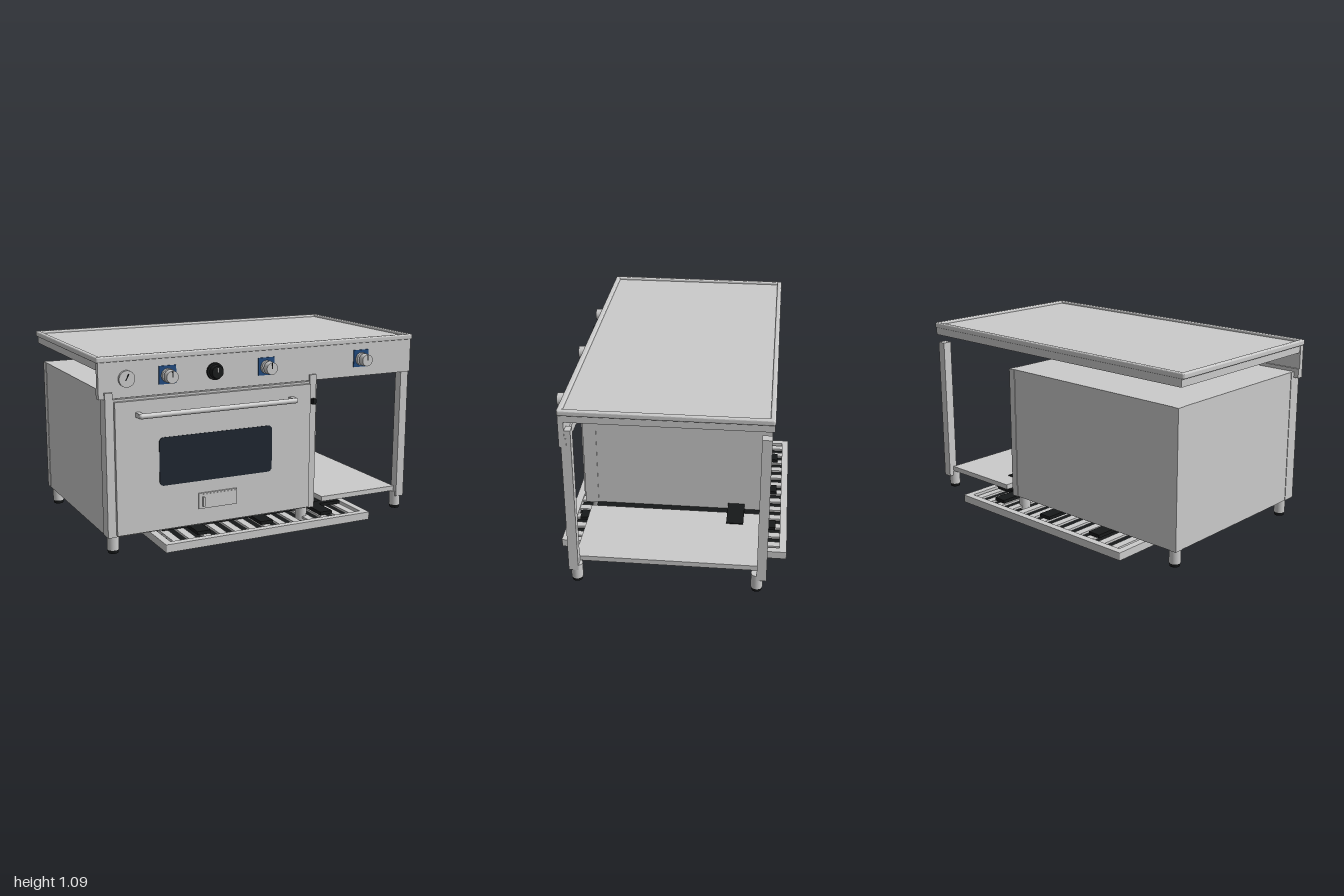
import * as THREE from 'three';

const mat = (color) => new THREE.MeshStandardMaterial({ color });

export function createModel() {
  const root = new THREE.Group();
  const grey = mat(0xcccccc), black = mat(0x17191a), glass = mat(0x1e2630), blue = mat(0x1f4a80);

  const add = (name, geo, m = grey, parent = root) => {
    const mesh = new THREE.Mesh(geo, m);
    mesh.name = name;
    parent.add(mesh);
    return mesh;
  };
  // Box given by its min and max on each axis
  const box = (name, x0, x1, y0, y1, z0, z1, m = grey, parent = root) => {
    const b = add(name, new THREE.BoxGeometry(x1 - x0, y1 - y0, z1 - z0), m, parent);
    b.position.set((x0 + x1) / 2, (y0 + y1) / 2, (z0 + z1) / 2);
    return b;
  };
  // Cylinder along z, from z0 to z1
  const disc = (name, x, y, r, z0, z1, m = grey, r1 = r, parent = root) => {
    const c = add(name, new THREE.CylinderGeometry(r1, r, z1 - z0, 32), m, parent);
    c.rotation.x = Math.PI / 2;
    c.position.set(x, y, (z0 + z1) / 2);
    return c;
  };
  const roundedRect = (w, h, r, Type = THREE.Shape) => {
    const s = new Type(), a = w / 2 - r, b = h / 2 - r;
    s.absarc(a, b, r, 0, Math.PI / 2);
    s.absarc(-a, b, r, Math.PI / 2, Math.PI);
    s.absarc(-a, -b, r, Math.PI, Math.PI * 1.5);
    s.absarc(a, -b, r, Math.PI * 1.5, Math.PI * 2);
    s.closePath();
    return s;
  };
  // Flat rectangular ring lying in the xz plane
  const ring = (name, w, d, t, y0, y1, z = 0, bevel = 0, parent = root) => {
    const s = roundedRect(w - 2 * bevel, d - 2 * bevel, 0.006);
    s.holes.push(roundedRect(w - 2 * t + 2 * bevel, d - 2 * t + 2 * bevel, 0.004, THREE.Path));
    const g = new THREE.ExtrudeGeometry(s, {
      depth: y1 - y0 - 2 * bevel, bevelEnabled: bevel > 0, bevelSize: bevel, bevelThickness: bevel, bevelSegments: 3, curveSegments: 4,
    });
    g.rotateX(-Math.PI / 2);
    const m = add(name, g, grey, parent);
    m.position.set(0, y0 + bevel, z);
  };

  // Worktop with a raised rounded rim and a skirt
  box('worktopSlab', -0.985, 0.985, 1.015, 1.075, -0.56, 0.545);
  ring('worktopRim', 2, 1.125, 0.028, 1.058, 1.09, 0, 0.008);

  // Control panel with a folded lower edge
  box('controlPanel', -0.99, 0.985, 0.865, 1.06, 0.53, 0.56);
  box('controlPanelHem', -0.99, 0.985, 0.865, 0.92, 0.52, 0.558);

  // Three burner knobs on blue plates
  for (const x of [-0.6, 0, 0.63]) {
    const knob = new THREE.Group();
    knob.name = 'burnerKnob';
    root.add(knob);
    box('knobPlate', x - 0.05, x + 0.05, 0.92, 1.02, 0.56, 0.566, blue, knob);
    disc('knobCollar', x, 0.967, 0.038, 0.566, 0.585, grey, 0.038, knob);
    disc('knobStem', x, 0.967, 0.026, 0.585, 0.6, grey, 0.026, knob);
    disc('knobBody', x, 0.967, 0.037, 0.6, 0.635, grey, 0.034, knob);
    box('knobPointer', x - 0.003, x + 0.003, 0.967, 0.999, 0.633, 0.637, black, knob);
  }
  // Thermometer and thermostat dial
  disc('thermometer', -0.835, 0.967, 0.045, 0.56, 0.578);
  const needle = box('thermometerNeedle', -0.838, -0.832, 0.955, 0.995, 0.577, 0.58, black);
  needle.rotation.z = -0.5;
  disc('thermostatBase', -0.32, 0.967, 0.048, 0.56, 0.575, black);
  disc('thermostatDial', -0.32, 0.967, 0.038, 0.575, 0.605, black, 0.034);
  box('thermostatMark', -0.323, -0.317, 0.967, 0.99, 0.604, 0.607);

  // Oven body and its corner posts
  box('ovenBody', -0.957, 0.317, 0.105, 0.9, -0.546, 0.545);
  for (const x of [-0.96, 0.28]) {
    box('ovenFrontPost', x, x + 0.042, 0.105, 0.9, 0.495, 0.574);
    box('ovenBackPost', x, x + 0.042, 0.105, 0.9, -0.55, -0.497);
  }

  // Oven door with window, hatch and handle
  box('doorFrame', -0.918, 0.28, 0.105, 0.862, 0.54, 0.57);
  box('ovenDoor', -0.912, 0.276, 0.115, 0.85, 0.57, 0.59);
  const pane = add('ovenWindow', new THREE.ExtrudeGeometry(roundedRect(0.69, 0.27, 0.025), { depth: 0.005, bevelEnabled: false }), glass);
  pane.position.set(-0.32, 0.5, 0.588);
  box('ventHatch', -0.435, -0.2, 0.205, 0.295, 0.59, 0.6);
  box('ventHatchFace', -0.428, -0.207, 0.212, 0.288, 0.6, 0.603);
  box('ventHatchGrip', -0.415, -0.405, 0.22, 0.275, 0.603, 0.617);
  const bar = add('doorHandle', new THREE.CapsuleGeometry(0.015, 0.93, 4, 16));
  bar.rotation.z = Math.PI / 2;
  bar.position.set(-0.32, 0.775, 0.645);
  for (const x of [-0.785, 0.145]) box('handleBracket', x - 0.013, x + 0.013, 0.762, 0.788, 0.585, 0.645);
  box('doorCatch', 0.29, 0.31, 0.73, 0.762, 0.57, 0.598, black);

  // Open bay: legs and low shelf
  for (const z of [0.523, -0.523]) box('bayLeg', 0.93, 0.982, 0.08, 0.965, z - 0.027, z + 0.027);
  box('lowShelf', 0.41, 0.93, 0.11, 0.14, -0.52, 0.52);

  // Adjustable feet with dark pads
  for (const x of [-0.912, 0.272, 0.948]) {
    for (const z of [0.51, -0.497]) {
      const foot = new THREE.Group();
      foot.name = 'foot';
      foot.position.set(x, 0, z);
      root.add(foot);
      add('footSleeve', new THREE.CylinderGeometry(0.033, 0.033, 0.088, 24), grey, foot).position.y = 0.064;
      add('footPad', new THREE.CylinderGeometry(0.032, 0.028, 0.022, 24), black, foot).position.y = 0.011;
    }
  }

  // Floor tray: frame, dark base and slats
  ring('trayFrame', 1.32, 1.32, 0.042, 0.004, 0.05);
  box('trayBase', -0.645, 0.645, 0, 0.012, -0.645, 0.645, black);
  for (let i = 0; i < 13; i++) {
    const x = -0.573 + i * 0.0955;
    box('traySlat', x - 0.023, x + 0.023, 0.03, 0.044, -0.62, 0.62);
  }

  // Burner grate bars and funnel under the oven
  for (const p of [-0.4, 0, 0.4]) {
    box('grateCrossBar', -0.59, 0.59, 0.05, 0.07, p - 0.04, p + 0.04, black);
    box('grateLongBar', p - 0.04, p + 0.04, 0.05, 0.07, -0.59, 0.59, black);
  }
  const funnel = new THREE.CylinderGeometry(0.5 * Math.SQRT2, 0.38 * Math.SQRT2, 0.045, 4, 1);
  funnel.rotateY(Math.PI / 4);
  const hood = new THREE.MeshStandardMaterial({ color: 0x17191a, flatShading: true });
  add('burnerFunnel', funnel, hood).position.y = 0.0855;
  box('burnerDuct', 0.3, 0.53, 0.09, 0.145, -0.4, -0.3, black);

  return root;
}
